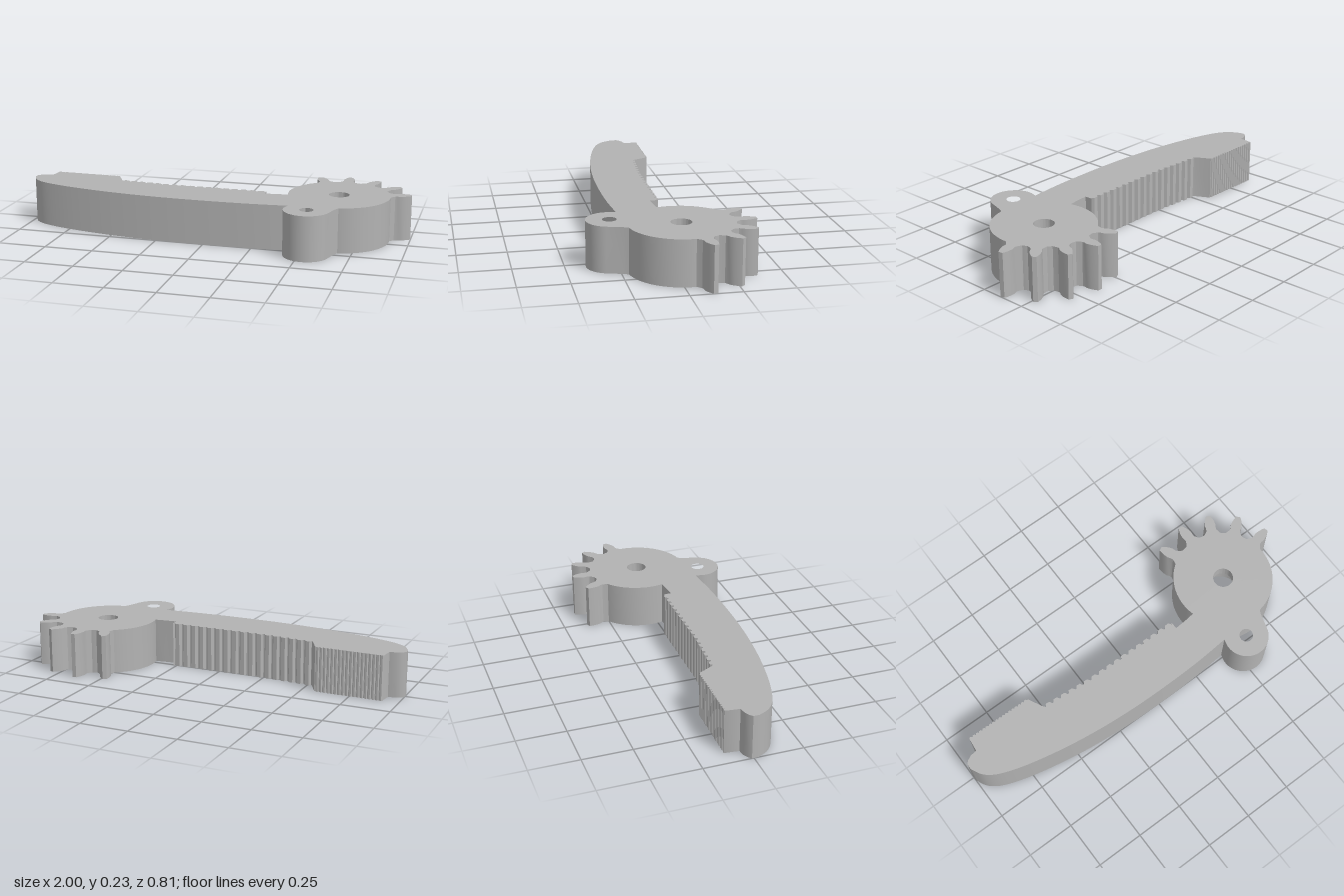
import * as THREE from 'three';
import { toCreasedNormals } from 'three/addons/utils/BufferGeometryUtils.js';

const H = 0.23;                 // thickness of the whole part
const HUB = { x: 0.64, z: -0.04, r: 0.26 };

export function createModel() {
  const group = new THREE.Group();
  group.name = 'gripperFinger';
  const grey = new THREE.MeshStandardMaterial({ color: 0xb2b2b2 });
  grey.name = 'grey plastic';

  const add = (name, geometry) => {
    const mesh = new THREE.Mesh(toCreasedNormals(geometry, 0.5), grey);
    mesh.name = name;
    group.add(mesh);
    return mesh;
  };

  // Outline given as [x, z] seen from above, raised to the full thickness
  const slab = (outline, holes = []) => {
    const shape = new THREE.Shape(outline.map(([x, z]) => new THREE.Vector2(x, -z)));
    for (const [x, z, r] of holes) {
      shape.holes.push(new THREE.Path().absarc(x, -z, r, 0, Math.PI * 2, true));
    }
    const g = new THREE.ExtrudeGeometry(shape, { depth: H, bevelEnabled: false, curveSegments: 24 });
    return g.rotateX(-Math.PI / 2);
  };

  // Row of small ridges between two points
  const ridges = (x0, z0, x1, z1, count, depth) => {
    const pts = [];
    for (let i = 0; i < count; i++) {
      for (const [t, d] of [[0.1, depth], [0.3, 0], [0.75, 0], [0.95, depth]]) {
        const f = (i + t) / count;
        pts.push([x0 + (x1 - x0) * f, z0 + (z1 - z0) * f + d]);
      }
    }
    return pts;
  };

  // Arm: curved belly, rounded nose, raised fine pad and coarse grip
  const belly = new THREE.CatmullRomCurve3([
    [0.43, 0.236], [0.25, 0.25], [0, 0.255], [-0.2, 0.25], [-0.4, 0.234], [-0.6, 0.205],
    [-0.8, 0.16], [-0.92, 0.115], [-0.97, 0.075], [-1, 0.02],
  ].map(([x, z]) => new THREE.Vector3(x, 0, z))).getPoints(48).map((p) => [p.x, p.z]);
  add('arm', slab([
    [0.45, 0.03], [0.52, 0.18],
    ...belly,
    [-1, -0.01], [-0.985, -0.025], [-0.96, -0.037], [-0.925, -0.042],
    ...ridges(-0.92, -0.117, -0.57, -0.112, 18, 0.006),
    [-0.565, -0.107], [-0.525, -0.03],
    ...ridges(-0.52, -0.034, -0.25, -0.012, 6, 0.014),
    ...ridges(-0.25, -0.012, 0.265, -0.008, 11, 0.014),
    [0.27, -0.003], [0.27, 0.037], [0.33, 0.033], [0.39, 0.026],
  ]));

  // Hub: pivot hole on top, wide counterbore underneath
  const profile = [[0.11, 0], [HUB.r, 0], [HUB.r, H], [0.052, H], [0.052, 0.17], [0.11, 0.17], [0.11, 0]];
  const hub = add('hub', new THREE.LatheGeometry(profile.map(([r, y]) => new THREE.Vector2(r, y)), 72));
  hub.position.set(HUB.x, 0, HUB.z);

  // Gear teeth: half profile of [half width, radius], mirrored
  const half = [[0.05, 0.25], [0.038, 0.264], [0.027, 0.28], [0.026, 0.293], [0.029, 0.31],
    [0.025, 0.332], [0.018, 0.352], [0.011, 0.366]];
  const tooth = [
    ...half.map(([w, r]) => [r, w]),
    ...half.slice().reverse().map(([w, r]) => [r, -w]),
  ];
  for (let i = 0; i < 5; i++) {
    const mesh = add(`gearTooth${i + 1}`, slab(tooth));
    mesh.position.set(HUB.x, 0, HUB.z);
    mesh.rotation.y = Math.PI / 2 + (1 - i) * (Math.PI * 2 / 14);
  }

  // Ear with link hole
  const ear = { x: 0.535, z: 0.285, r: 0.115 };
  const rim = [];
  for (let i = 0; i <= 32; i++) {
    const a = 0.3 + (i / 32) * (Math.PI - 0.2);
    rim.push([ear.x + ear.r * Math.cos(a), ear.z + ear.r * Math.sin(a)]);
  }
  add('linkEar', slab(
    [[0.66, 0.18], [0.682, 0.212], [0.668, 0.24], ...rim, [0.43, 0.235], [0.5, 0.17]],
    [[ear.x, ear.z, 0.035]],
  ));

  return group;
}
